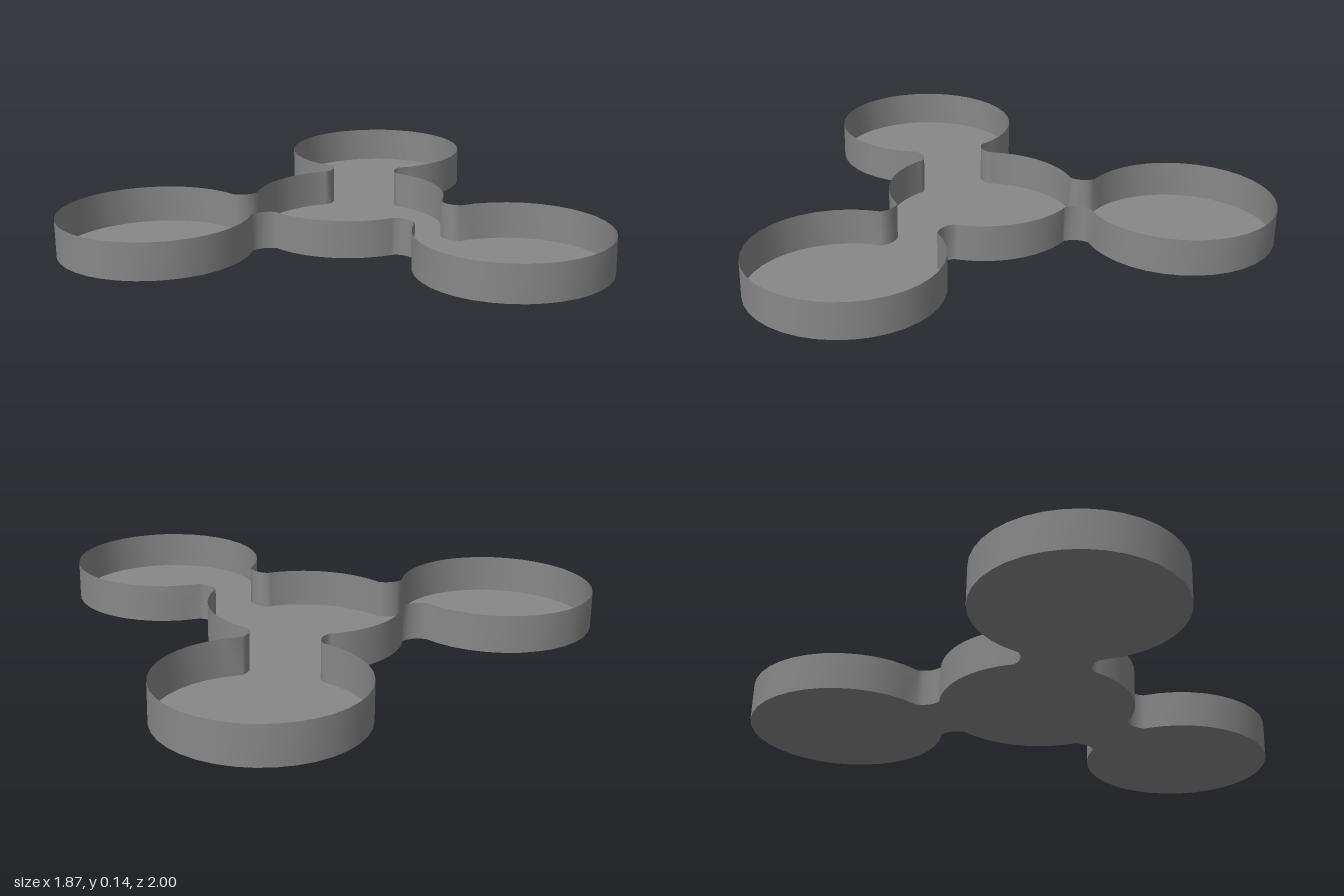
import * as THREE from 'three';

const HUB_X = -0.18, R = 0.36, ARM = 0.755, HEIGHT = 0.14;
const NECK = 0.4; // half angle of the neck opening in each round bay
const ARM_ANGLES = [0, 121.8, 238.2].map(THREE.MathUtils.degToRad);

// Point in the plan, given along and across an arm
function armPoint(angle, along, across) {
  const c = Math.cos(angle), s = Math.sin(angle);
  return [HUB_X + along * c - across * s, along * s + across * c];
}

// Counterclockwise plan: a hub and three round lobes joined by filleted necks
function trayOutline() {
  const shape = new THREE.Shape();
  const edge = R * Math.cos(NECK), half = R * Math.sin(NECK), waist = 0.112;
  shape.moveTo(...armPoint(ARM_ANGLES[0], edge, -half));
  ARM_ANGLES.forEach((a, i) => {
    const next = i < 2 ? ARM_ANGLES[i + 1] : Math.PI * 2;
    shape.quadraticCurveTo(...armPoint(a, ARM / 2, -waist), ...armPoint(a, ARM - edge, -half));
    const [x, y] = armPoint(a, ARM, 0);
    shape.absarc(x, y, R, a - Math.PI + NECK, a + Math.PI - NECK, false);
    shape.quadraticCurveTo(...armPoint(a, ARM / 2, waist), ...armPoint(a, edge, half));
    shape.absarc(HUB_X, 0, R, a + NECK, next - NECK, false);
  });
  // Few steps on the small fillets, more on the round bays
  const points = shape.curves.flatMap((curve) =>
    curve.getPoints(curve.type === 'QuadraticBezierCurve' ? 4 : 32));
  return points.filter((p, i) => p.distanceTo(points[(i + 1) % points.length]) > 1e-4);
}

// Upright ribbon following the closed outline
function wallGeometry(points) {
  const position = [], index = [], n = points.length;
  points.forEach((p, i) => {
    position.push(p.x, p.y, 0, p.x, p.y, HEIGHT);
    const a = 2 * i, b = 2 * ((i + 1) % n);
    index.push(a, b, b + 1, a, b + 1, a + 1);
  });
  const geometry = new THREE.BufferGeometry();
  geometry.setAttribute('position', new THREE.Float32BufferAttribute(position, 3));
  geometry.setIndex(index);
  geometry.computeVertexNormals();
  return geometry;
}

export function createModel() {
  const group = new THREE.Group();
  group.name = 'threeLobedTray';
  const material = new THREE.MeshStandardMaterial({ color: 0x888888, side: THREE.DoubleSide });
  const outline = trayOutline();

  const addPart = (name, geometry) => {
    const mesh = new THREE.Mesh(geometry.rotateX(-Math.PI / 2), material);
    mesh.name = name;
    group.add(mesh);
  };

  // Thin floor and thin open-topped wall
  addPart('floor', new THREE.ShapeGeometry(new THREE.Shape(outline)));
  addPart('wall', wallGeometry(outline));
  return group;
}
